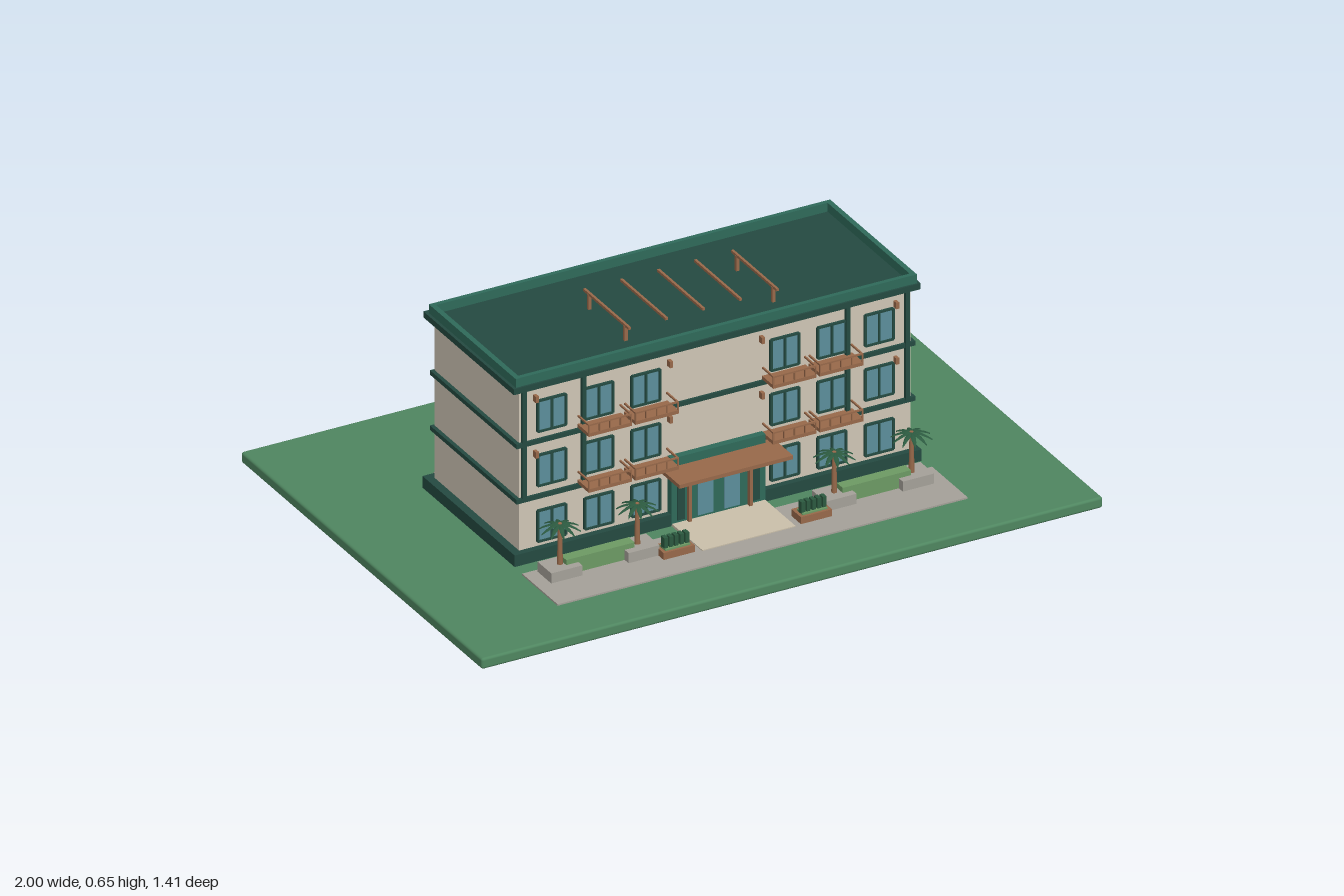
import * as THREE from 'three';
import { RoundedBoxGeometry } from 'three/addons/geometries/RoundedBoxGeometry.js';

const mat = (name, color, side = THREE.FrontSide) => {
  const m = new THREE.MeshStandardMaterial({ color, side });
  m.name = name;
  return m;
};

export function createModel() {
  const root = new THREE.Group();
  root.name = 'apartmentBuilding';
  const M = {
    grass: mat('grass green', 0x4f8660),
    wall: mat('cream wall', 0xcfc6b5),
    trim: mat('dark green trim', 0x244a41),
    green: mat('parapet green', 0x2f6a5a),
    wood: mat('brown wood', 0x98694a),
    glass: mat('blue glass', 0x5c8f9c),
    stone: mat('grey stone', 0xa5a199),
    pad: mat('pale paving', 0xcbc0aa),
    hedge: mat('hedge green', 0x6d9a64),
    palm: mat('palm green', 0x2c5a40, THREE.DoubleSide),
  };

  // Box given by its lower and upper limits on each axis
  const box = (name, m, x0, x1, y0, y1, z0, z1, parent = root) => {
    const mesh = new THREE.Mesh(new THREE.BoxGeometry(x1 - x0, y1 - y0, z1 - z0), m);
    mesh.position.set((x0 + x1) / 2, (y0 + y1) / 2, (z0 + z1) / 2);
    mesh.name = name;
    parent.add(mesh);
    return mesh;
  };
  const group = (name, x = 0, y = 0, z = 0) => {
    const g = new THREE.Group();
    g.name = name;
    g.position.set(x, y, z);
    root.add(g);
    return g;
  };

  // Lawn and paving
  const lawn = new THREE.Mesh(new RoundedBoxGeometry(2, 0.035, 1.41, 2, 0.008), M.grass);
  lawn.position.y = 0.0175;
  lawn.name = 'lawn';
  root.add(lawn);
  box('pavement', M.stone, -0.66, 0.66, 0.03, 0.04, 0.322, 0.53);
  box('entrancePad', M.pad, -0.15, 0.15, 0.03, 0.043, 0.26, 0.45);

  // Main block with floor bands, cornice and parapet
  box('plinth', M.trim, -0.655, 0.655, 0.03, 0.072, -0.27, 0.27);
  box('walls', M.wall, -0.63, 0.63, 0.06, 0.59, -0.245, 0.25);
  for (const y of [0.233, 0.41]) box('floorBand', M.trim, -0.642, 0.642, y - 0.007, y + 0.007, -0.25, 0.258);
  box('cornice', M.trim, -0.655, 0.655, 0.583, 0.602, -0.265, 0.265);
  for (const s of [-1, 1]) {
    box('sideParapet', M.green, s * 0.638 - 0.008, s * 0.638 + 0.008, 0.602, 0.63, -0.249, 0.26);
    const z = s > 0 ? 0.252 : -0.242;
    box('longParapet', M.green, -0.63, 0.63, 0.602, 0.63, z - 0.007, z + 0.007);
    for (const x of [0.425, 0.617])
      box('pilaster', M.trim, s * x - 0.007, s * x + 0.007, 0.235, 0.585, 0.25, 0.26);
  }

  // Roof pergola
  for (let i = -2; i <= 2; i++) {
    const x = i * 0.119;
    box('pergolaBeam', M.wood, x - 0.004, x + 0.004, 0.647, 0.655, -0.08, 0.185);
    if (Math.abs(i) === 2)
      for (const z of [-0.052, 0.16]) box('pergolaPost', M.wood, x - 0.005, x + 0.005, 0.6, 0.65, z - 0.005, z + 0.005);
  }

  // Windows on three floors
  const addWindow = (x, y) => {
    const g = group('window', x, y, 0.25);
    const w = 0.045, h = 0.049;
    box('glass', M.glass, -w, w, -h, h, -0.002, 0.003, g);
    for (const s of [-1, 1]) {
      box('frameSide', M.trim, s * w - 0.0035, s * w + 0.0035, -h, h, 0, 0.008, g);
      box('frameRail', M.trim, -w, w, s * h - 0.003, s * h + 0.003, 0, 0.008, g);
    }
    box('mullion', M.trim, -0.0035, 0.0035, -h, h, 0, 0.007, g);
  };

  // Balcony with slab, posts and rails
  const addBalcony = (x, y) => {
    const g = group('balcony', x, y, 0.25);
    const w = 0.07, d = 0.066;
    box('slab', M.wood, -w, w, -0.005, 0.006, -0.005, d, g);
    box('frontRail', M.wood, -w, w, 0.029, 0.034, d - 0.005, d, g);
    for (const s of [-1, 1])
      box('sideRail', M.wood, s * (w - 0.0025) - 0.0025, s * (w - 0.0025) + 0.0025, 0.029, 0.034, 0, d, g);
    for (let i = 0; i <= 4; i++) {
      const px = (i / 4 - 0.5) * 2 * (w - 0.002);
      box('railPost', M.wood, px - 0.002, px + 0.002, 0, 0.03, d - 0.004, d, g);
    }
  };

  for (const s of [-1, 1]) {
    for (const y of [0.137, 0.315, 0.489]) for (const x of [0.224, 0.375, 0.527]) addWindow(s * x, y);
    for (const y of [0.244, 0.423]) for (const x of [0.222, 0.372]) addBalcony(s * x, y);
    // Wall lamps
    for (const y of [0.372, 0.55]) for (const x of [0.148, 0.58])
      box('wallLamp', M.wood, s * x - 0.005, s * x + 0.005, y - 0.01, y + 0.01, 0.25, 0.267);
  }

  // Entrance
  box('entranceSurround', M.green, -0.152, 0.152, 0.04, 0.252, 0.24, 0.272);
  for (const s of [-1, 1]) {
    box('doorGlass', M.glass, s * 0.042 - 0.025, s * 0.042 + 0.025, 0.05, 0.185, 0.27, 0.275);
    box('sideLight', M.trim, s * 0.121 - 0.012, s * 0.121 + 0.012, 0.05, 0.185, 0.27, 0.274);
    box('canopyPost', M.wood, s * 0.098 - 0.005, s * 0.098 + 0.005, 0.04, 0.216, 0.274, 0.286);
  }
  box('canopy', M.wood, -0.183, 0.183, 0.213, 0.225, 0.25, 0.376);

  // Drooping, tapered palm frond
  const frond = new THREE.PlaneGeometry(1, 1, 4, 2);
  const p = frond.attributes.position;
  for (let i = 0; i < p.count; i++) {
    const t = p.getX(i) + 0.5, v = p.getY(i) * 2;
    const half = 0.0075 * Math.sin(Math.PI * (0.12 + 0.86 * t));
    p.setXYZ(i, t * 0.06, 0.003 + 0.006 * t - 0.026 * t * t - 0.004 * Math.abs(v), -v * half);
  }
  frond.computeVertexNormals();

  const trunk = new THREE.CylinderGeometry(0.006, 0.009, 0.135, 8);
  const addPalm = (x, z) => {
    const g = group('palmTree', x, 0, z);
    box('planter', M.stone, -0.05, 0.05, 0.035, 0.072, -0.04, 0.04, g);
    const stem = new THREE.Mesh(trunk, M.wood);
    stem.position.y = 0.134;
    stem.name = 'trunk';
    g.add(stem);
    for (let i = 0; i < 10; i++) {
      const leaf = new THREE.Mesh(frond, M.palm);
      leaf.position.y = 0.198;
      leaf.rotation.y = (i / 10) * Math.PI * 2;
      leaf.name = 'frond';
      g.add(leaf);
    }
  };

  for (const s of [-1, 1]) {
    // Palms at front and against the back wall
    for (const x of [0.317, 0.566]) for (const z of [0.373, -0.235]) addPalm(s * x, z);
    box('hedge', M.hedge, s * 0.445 - 0.11, s * 0.445 + 0.11, 0.035, 0.088, 0.355, 0.39);

    // Wooden flower box with upright plants
    const g = group('flowerBox', s * 0.221, 0, 0.414);
    box('boxBody', M.wood, -0.05, 0.05, 0.038, 0.062, -0.027, 0.03, g);
    box('boxPlanting', M.hedge, -0.04, 0.04, 0.06, 0.067, -0.012, 0.022, g);
    for (let i = -2; i <= 2; i++)
      box('plant', M.palm, i * 0.017 - 0.006, i * 0.017 + 0.006, 0.06, 0.1, -0.004, 0.016, g);
  }
  return root;
}
